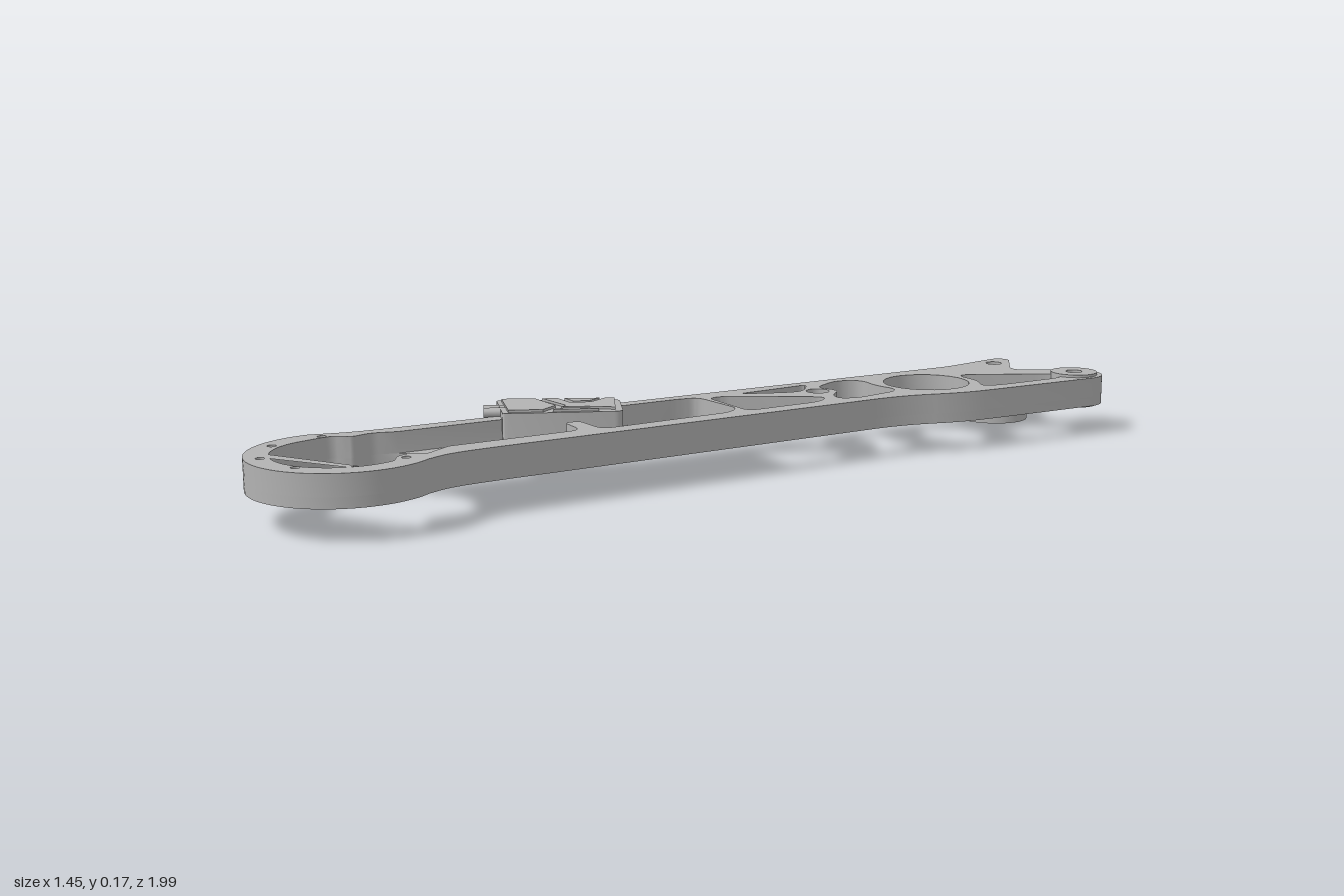
import * as THREE from 'three';
import { toCreasedNormals } from 'three/addons/utils/BufferGeometryUtils.js';

// Plan outlines are drawn on a drafting grid (u right, v toward the front), 189.3 grid steps per unit
const S = 189.3, U0 = 1134.5, V0 = 224.3;
const plan = (u, v) => new THREE.Vector2((u - U0) / S, (v - V0) / S);

// Points along an arc, angles in degrees (0 = right, 90 = front)
function arc(u, v, r, a0, a1, n = 24) {
  return Array.from({ length: n + 1 }, (_, i) => {
    const a = THREE.MathUtils.degToRad(a0 + (a1 - a0) * i / n);
    return [u + r * Math.cos(a), v + r * Math.sin(a)];
  });
}

// Closed outline; an optional third number rounds that corner
function outline(points, Type = THREE.Shape) {
  const path = new Type();
  const n = points.length;
  let started = false;
  const go = (p) => {
    if (started) path.lineTo(p.x, p.y);
    else path.moveTo(p.x, p.y);
    started = true;
  };
  points.forEach(([u, v, r = 0], i) => {
    const p = plan(u, v);
    if (!r) return go(p);
    const cut = (q) => {
      const e = plan(q[0], q[1]).sub(p);
      return p.clone().add(e.multiplyScalar(Math.min(r / S / e.length(), 0.48)));
    };
    const a = cut(points[(i + n - 1) % n]), b = cut(points[(i + 1) % n]);
    go(a);
    path.quadraticCurveTo(p.x, p.y, b.x, b.y);
  });
  path.closePath();
  return path;
}

const hole = (points) => outline(points, THREE.Path);
const roundHole = (u, v, r) => hole(arc(u, v, r, 0, 345, 23));

// Horizontal slab between two heights
function slab(name, points, holes, y0, y1, material) {
  const shape = outline(points);
  shape.holes.push(...holes);
  const geo = new THREE.ExtrudeGeometry(shape, { depth: y1 - y0, bevelEnabled: false, curveSegments: 6 });
  geo.rotateX(Math.PI / 2).translate(0, y1, 0);
  const mesh = new THREE.Mesh(toCreasedNormals(geo, 0.5), material);
  mesh.name = name;
  return mesh;
}

export function createModel() {
  const metal = new THREE.MeshStandardMaterial({ color: 0xb2b2b2 });
  metal.name = 'plain grey metal';
  const model = new THREE.Group();
  model.name = 'leverArm';

  // Arm silhouette: end ring, long beam, side lug and pointed tip
  const silhouette = [
    ...arc(1036, 373.5, 39.5, 212, -5, 40),
    [1077, 358, 10], [1087, 340, 12], [1200, 160, 16], [1224, 140, 14],
    ...arc(1257.5, 67, 14, 35, -117),
    [1230, 67, 4], [1224, 65, 4],
    ...arc(1211.5, 43, 5, -20, -155, 8),
    [1193, 74, 8], [1022, 332, 14], [1014, 342, 8],
  ];

  // Lightening windows and bolt holes pass through the whole arm
  const windows = () => [
    hole([[1120, 205, 4], [1124, 198, 5], [1169, 178, 8], [1170, 190, 6], [1149, 224, 6]]),
    hole([[1128, 189, 4], [1148, 153, 5], [1153, 169, 6], [1147, 176, 4]]),
    hole([[1155, 157, 4], [1156, 137, 9], [1168, 130, 9], [1178, 140, 7], [1194, 146, 9],
      [1183, 173, 5], [1175, 179, 7], [1169, 172, 5], [1168, 160, 6]]),
    hole([[1207, 94, 4], [1245, 73, 6], [1255, 71, 6], [1253, 82, 5], [1234, 111, 5],
      [1226, 119, 6], [1219, 105, 6], [1209, 99, 4]]),
    roundHole(1198, 121, 21),
    roundHole(1159, 166, 5.5),
    roundHole(1211.5, 53, 4),
    roundHole(1257.5, 67, 4),
    ...[[1010, 353], [1003, 377], [1014, 398], [1037, 405], [1058, 394], [1065.5, 371]]
      .map(([u, v]) => roundHole(u, v, 1.9)),
  ];

  // Ring opening, closed by an arc in the floor and running into the pocket above it
  const ringEdge = [
    [1069, 362, 3], [1062, 365, 2], [1061, 371, 2],
    ...arc(1036, 374, 29, 8, 198, 32),
    [1013, 351, 4], [1022, 348, 3], [1024, 339, 4], [1033, 331],
  ];
  const floorOpening = [...ringEdge, [1041, 329], [1048, 329.5], [1055, 332], [1062, 337], [1069, 346]];
  const pocketOpening = [...ringEdge,
    [1108, 214, 4], [1115, 206, 6], [1142, 221, 5], [1143, 231, 5], [1109, 288, 6],
    [1092, 278, 3], [1088, 284, 3], [1102, 294, 6], [1069, 346]];

  model.add(slab('armFloor', silhouette, [hole(floorOpening), ...windows()], 0.075, 0.1, metal));
  model.add(slab('armWalls', silhouette, [hole(pocketOpening), ...windows()], 0.1, 0.15, metal));

  // Bushing in the lug, standing slightly proud on both sides
  model.add(slab('lugBushing', arc(1257.5, 67, 11.5, 0, 352, 44), [roundHole(1257.5, 67, 4)], 0.07, 0.157, metal));

  // Roller under the tip, with its spacer
  model.add(slab('roller', arc(1211.5, 53.5, 18, 0, 352, 44), [roundHole(1211.5, 53, 4)], 0, 0.065, metal));
  model.add(slab('rollerSpacer', arc(1211.5, 53.5, 8, 0, 345, 23), [roundHole(1211.5, 53, 4)], 0.065, 0.075, metal));

  // Small module lying across the pocket
  const unit = new THREE.Group();
  unit.name = 'sensorUnit';
  unit.add(slab('unitBody', [[1043, 268, 2], [1092, 241, 4], [1107, 265, 4], [1062, 293, 2]], [], 0.1, 0.168, metal));
  const panels = [
    [[1046, 268.5], [1059, 261], [1076, 271], [1076, 282], [1063, 290]],
    [[1062, 259.5], [1068, 256], [1078, 262], [1086, 257], [1087, 246], [1091, 244], [1102, 263], [1090, 267],
      [1080, 273], [1080, 269]],
    [[1071, 254.5], [1085, 247], [1084, 255], [1078, 259]],
    [[1080, 276], [1090, 270], [1097, 269], [1080, 280]],
  ];
  panels.forEach((p) => unit.add(slab('lidPanel', p, [], 0.168, 0.174, metal)));

  // Two cable stubs at the outer end
  for (const [u, v] of [[1050.5, 278], [1054, 283.5]]) {
    const stub = new THREE.Mesh(new THREE.CylinderGeometry(0.012, 0.012, 0.07, 12), metal);
    stub.name = 'cableStub';
    const p = plan(u, v);
    stub.position.set(p.x, 0.158, p.y);
    stub.quaternion.setFromUnitVectors(new THREE.Vector3(0, 1, 0), new THREE.Vector3(-0.87, 0, 0.49).normalize());
    unit.add(stub);
  }
  model.add(unit);
  return model;
}
